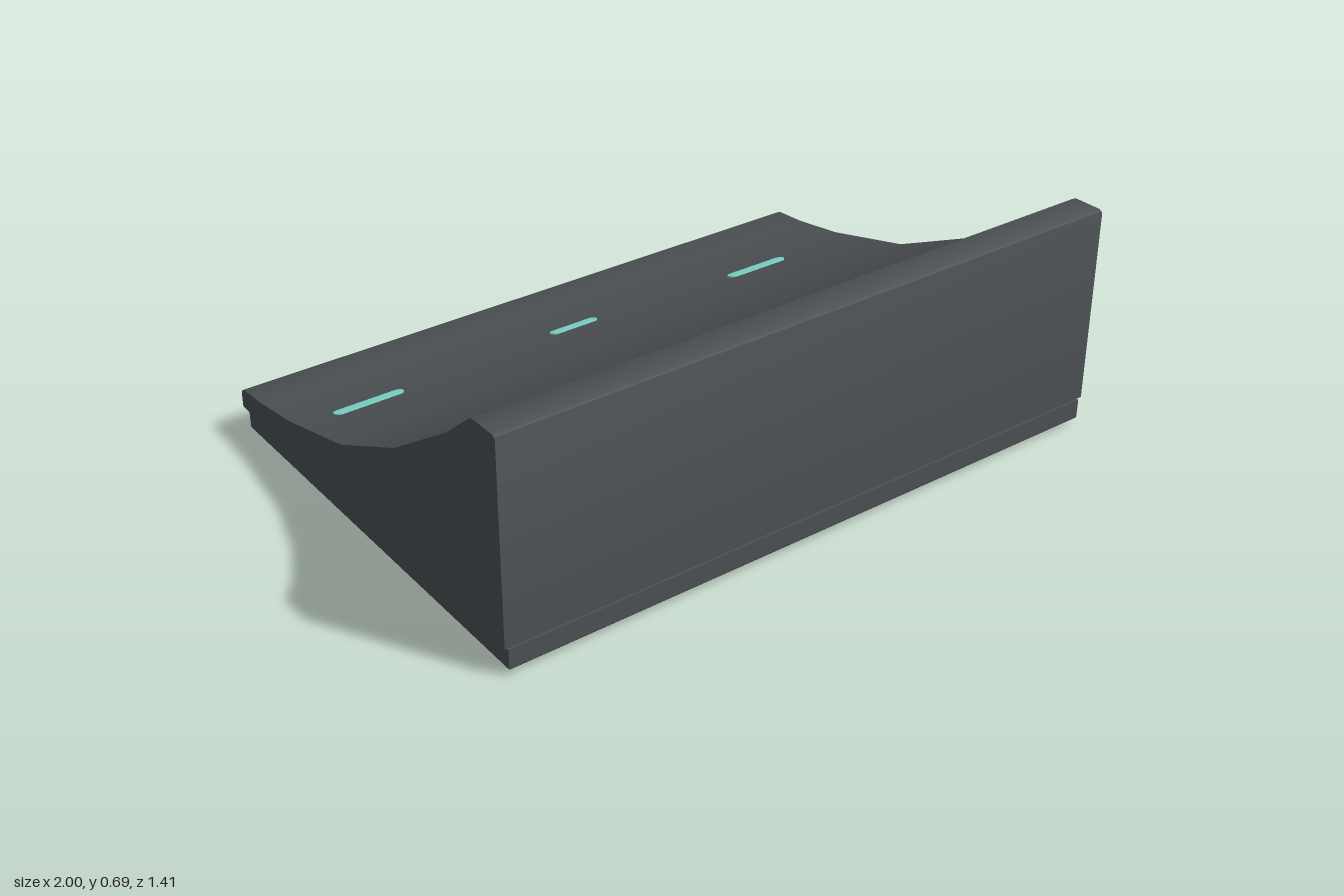
import * as THREE from 'three';
import { toCreasedNormals } from 'three/addons/utils/BufferGeometryUtils.js';

const paint = (name, color) => {
  const m = new THREE.MeshStandardMaterial({ color });
  m.name = name;
  return m;
};

export function createModel() {
  const group = new THREE.Group();
  const shell = paint('slate grey', 0x4c5154);
  const dark = paint('underside charcoal', 0x38383a);
  const mint = paint('mint', 0x80dacd);

  const add = (name, geometry, material, x = 0, y = 0, z = 0) => {
    const mesh = new THREE.Mesh(geometry, material);
    mesh.name = name;
    mesh.position.set(x, y, z);
    group.add(mesh);
    return mesh;
  };

  // Sloped upper shell: side profile (z, y) extruded across the width
  const profile = [
    [0.706, 0.087], [0.706, 0.68], [0.703, 0.689], [0.694, 0.693], [0.605, 0.692], [0.59, 0.683],
    [0.48, 0.59], [0.21, 0.41], [-0.09, 0.268], [-0.4, 0.188], [-0.58, 0.16],
    [-0.685, 0.152], [-0.7, 0.145], [-0.706, 0.13], [-0.706, 0.087],
  ].map(([z, y]) => new THREE.Vector2(z, y));
  const body = new THREE.ExtrudeGeometry(new THREE.Shape(profile), { depth: 2, bevelEnabled: false });
  body.translate(0, 0, -1).rotateY(-Math.PI / 2);
  add('upperShell', toCreasedNormals(body, 0.7), shell);

  // Shadow gap, base tray and bottom plate
  add('seam', new THREE.BoxGeometry(1.965, 0.012, 1.385), dark, 0, 0.084, 0.005);
  add('baseTray', new THREE.BoxGeometry(1.98, 0.058, 1.396), shell, 0, 0.052, 0.008);
  add('bottomPlate', new THREE.BoxGeometry(1.978, 0.004, 1.394), dark, 0, 0.022, 0.008);

  // Tapered rubber feet
  for (const x of [-0.893, 0.893])
    for (const z of [-0.635, 0.64])
      add('foot', new THREE.CylinderGeometry(0.021, 0.014, 0.022, 16), dark, x, 0.011, z);

  // Pill-shaped indicator strips lying on the slope
  const slope = Math.atan(0.258);
  const strip = (x, z, length, width) => {
    const r = width / 2, h = length / 2 - r;
    const pill = new THREE.Shape();
    pill.absarc(h, 0, r, -Math.PI / 2, Math.PI / 2);
    pill.absarc(-h, 0, r, Math.PI / 2, Math.PI * 1.5);
    const plate = new THREE.ExtrudeGeometry(pill, { depth: 0.006, bevelEnabled: false, curveSegments: 8 });
    const y = 0.268 + (z + 0.09) * 0.258 - 0.002;
    add('indicatorStrip', plate, mint, x, y, z).rotation.x = -Math.PI / 2 - slope;
  };
  strip(-0.787, -0.326, 0.22, 0.037);
  strip(0.605, -0.326, 0.22, 0.037);
  strip(-0.066, -0.366, 0.165, 0.033);

  return group;
}
